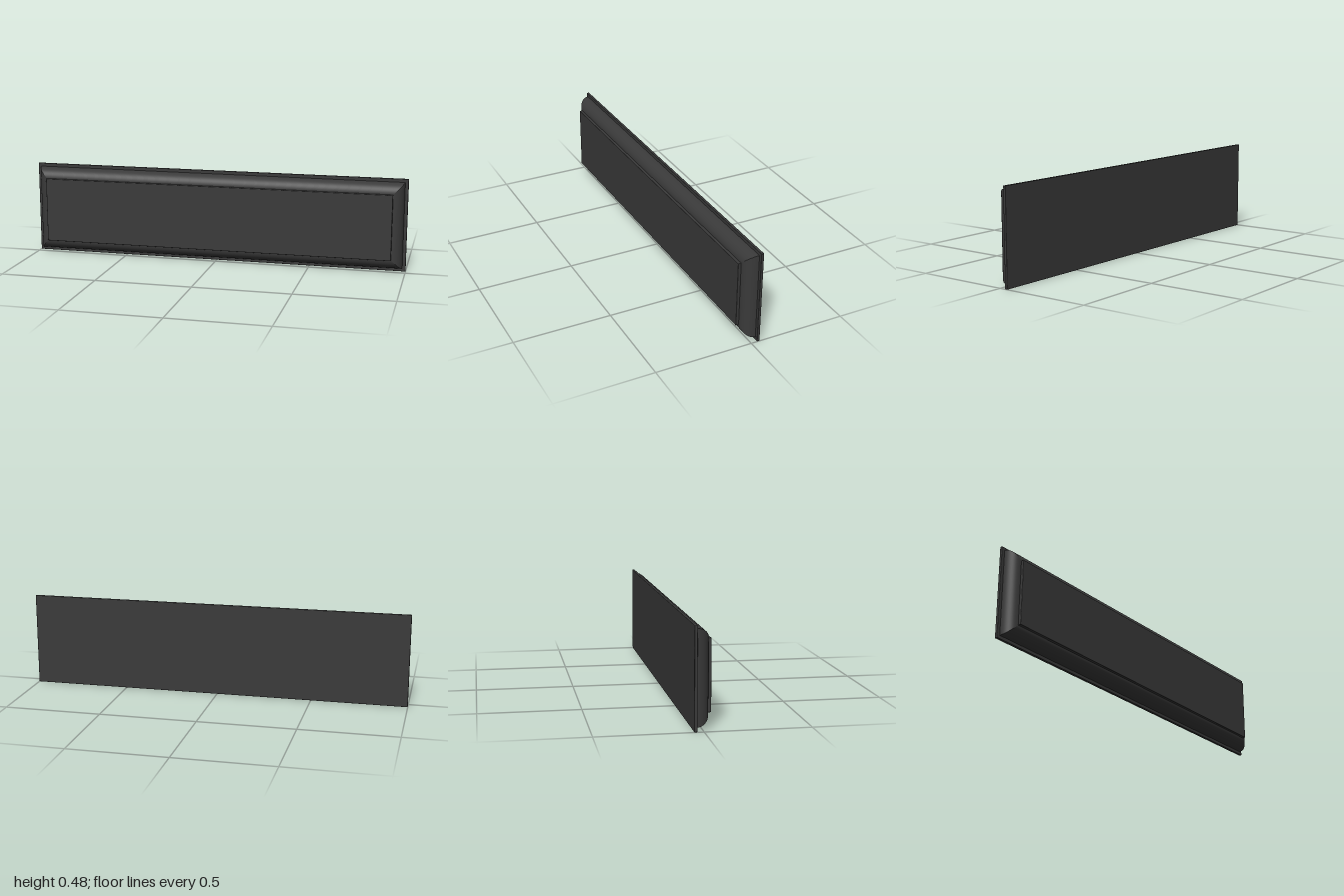
import * as THREE from 'three';
import { RoundedBoxGeometry } from 'three/addons/geometries/RoundedBoxGeometry.js';

const W = 2, H = 0.484;

// Corners of the outline moved inwards by d, counter-clockwise from the front
function corners(d) {
  const x = W / 2 - d;
  return [[-x, d], [x, d], [x, H - d], [-x, H - d]];
}

// Sweeps a profile of [inset, z] points (back to front) round the four sides
// with sharp mitres, then closes the front and the back.
function mitredMoulding(profile) {
  const pos = [], index = [];
  const n = profile.length;
  for (let s = 0; s < 4; s++) {
    const base = pos.length / 3;
    profile.forEach(([d, z]) => {
      const c = corners(d);
      pos.push(...c[s], z, ...c[(s + 1) % 4], z);
    });
    for (let i = 0; i < n - 1; i++) {
      const a = base + i * 2;
      index.push(a, a + 1, a + 3, a, a + 3, a + 2);
    }
  }
  for (const [[d, z], front] of [[profile[n - 1], true], [profile[0], false]]) {
    const b = pos.length / 3;
    corners(d).forEach((c) => pos.push(...c, z));
    index.push(...(front ? [0, 1, 2, 0, 2, 3] : [0, 2, 1, 0, 3, 2]).map((i) => b + i));
  }
  const geo = new THREE.BufferGeometry();
  geo.setAttribute('position', new THREE.Float32BufferAttribute(pos, 3));
  geo.setIndex(index);
  geo.computeVertexNormals();
  return geo;
}

export function createModel() {
  const group = new THREE.Group();
  const material = new THREE.MeshStandardMaterial({ color: 0x3a3a3a });

  const add = (name, geometry) => {
    const mesh = new THREE.Mesh(geometry, material);
    mesh.name = name;
    group.add(mesh);
    return mesh;
  };
  // Slab with slightly eased edges, between two depths
  const slab = (name, inset, z0, z1) => {
    const geo = new RoundedBoxGeometry(W - 2 * inset, H - 2 * inset, z1 - z0, 2, 0.002);
    add(name, geo).position.set(0, H / 2, (z0 + z1) / 2);
  };

  // Thin plate at the back
  slab('backPlate', 0, -0.045, -0.031);

  // Quarter-round moulding with mitred corners
  const profile = [];
  for (let i = 0; i <= 16; i++) {
    const a = (i / 16) * Math.PI / 2;
    profile.push([0.072 - 0.055 * Math.cos(a), -0.031 + 0.062 * Math.sin(a)]);
  }
  add('roundedMoulding', mitredMoulding(profile));

  // Raised flat panel at the front
  slab('frontPanel', 0.071, 0.027, 0.046);

  return group;
}
